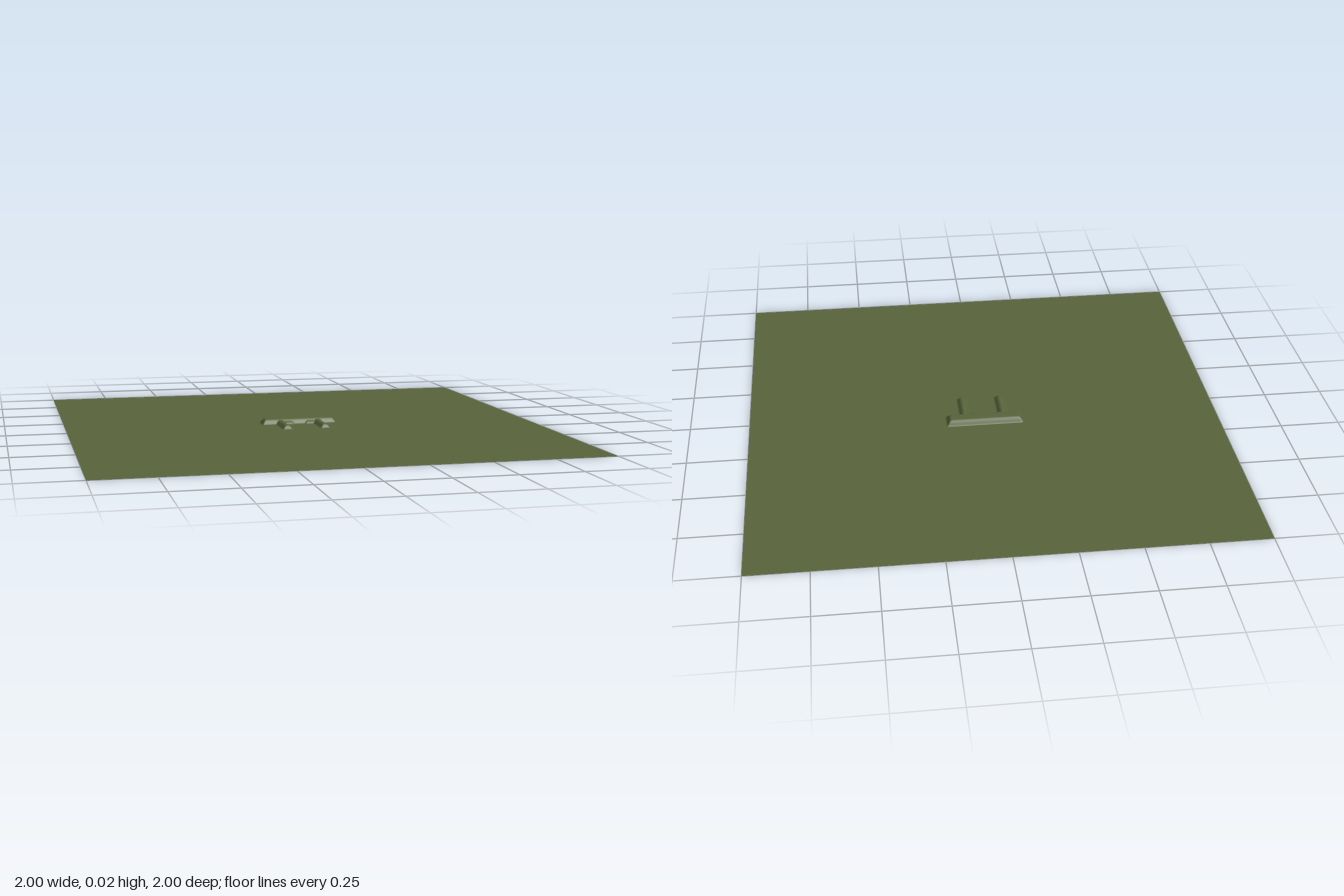
import * as THREE from 'three';

// Distance to the edge of a rectangle in plan (negative inside)
function boxDistance(x, z, cx, cz, hx, hz) {
  const dx = Math.abs(x - cx) - hx, dz = Math.abs(z - cz) - hz;
  return Math.hypot(Math.max(dx, 0), Math.max(dz, 0)) + Math.min(Math.max(dx, dz), 0);
}

// Soft-shouldered ridge over a rectangle
function ridge(x, z, [cx, cz, hx, hz, height, slope]) {
  const t = THREE.MathUtils.clamp(-boxDistance(x, z, cx, cz, hx, hz) / slope, 0, 1);
  return height * Math.sin(t * Math.PI / 2);
}

// Centre x, centre z, half width, half depth, height, slope width
// (x is mirrored, so one leg and one brace serve both sides)
const RIDGES = [
  [0, -0.063, 0.163, 0.037, 0.022, 0.02],    // cross bar
  [0.082, 0.033, 0.021, 0.079, 0.018, 0.019], // leg
  [0.05, -0.03, 0.026, 0.014, 0.011, 0.012],  // small brace under the bar
];

const heightAt = (x, z) => Math.max(...RIDGES.map(r => ridge(Math.abs(x), z, r)));

export function createModel() {
  const group = new THREE.Group();
  group.name = 'embossedGround';
  const olive = new THREE.MeshStandardMaterial({ color: 0x58643c, side: THREE.DoubleSide });
  olive.name = 'olive green';

  // Flat ground with an opening for the raised patch
  const W = 0.2, D = 0.14;
  const rectangle = (Type, w, d) => new Type([
    new THREE.Vector2(-w, -d), new THREE.Vector2(w, -d),
    new THREE.Vector2(w, d), new THREE.Vector2(-w, d),
  ]);
  const outline = rectangle(THREE.Shape, 1, 1);
  outline.holes.push(rectangle(THREE.Path, W, D));
  const ground = new THREE.Mesh(new THREE.ShapeGeometry(outline).rotateX(-Math.PI / 2), olive);
  ground.name = 'ground';
  group.add(ground);

  // Finely divided patch raised into a bar with two legs
  const relief = new THREE.PlaneGeometry(2 * W, 2 * D, 100, 70).rotateX(-Math.PI / 2);
  const p = relief.attributes.position;
  for (let i = 0; i < p.count; i++) p.setY(i, heightAt(p.getX(i), p.getZ(i)));
  relief.computeVertexNormals();
  const emboss = new THREE.Mesh(relief, olive);
  emboss.name = 'raisedRelief';
  group.add(emboss);

  return group;
}
